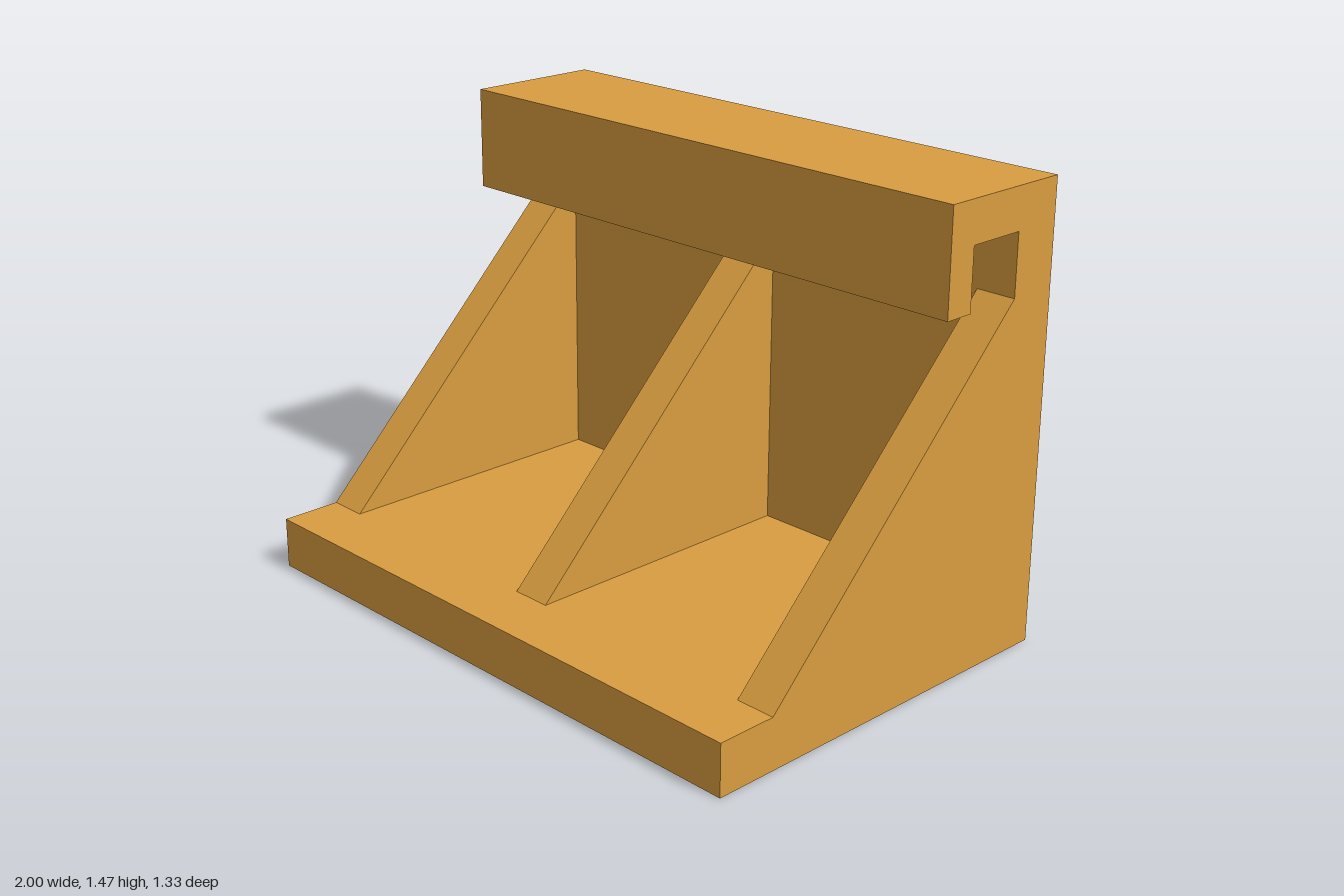
import * as THREE from 'three';

const WIDTH = 2;
const RIB = 0.133;

// Extrudes a side profile of [z, y] points along x, centred on the given x.
function sideExtrude(points, width, x) {
  const shape = new THREE.Shape(points.map(([z, y]) => new THREE.Vector2(z, y)));
  const geometry = new THREE.ExtrudeGeometry(shape, { depth: width, bevelEnabled: false });
  geometry.translate(0, 0, -width / 2);
  geometry.rotateY(-Math.PI / 2);
  geometry.translate(x, 0, 0);
  return geometry;
}

export function createModel() {
  const model = new THREE.Group();
  model.name = 'hookBracket';
  const ochre = new THREE.MeshStandardMaterial({ color: 0xd99d40 });
  ochre.name = 'ochre';

  const add = (name, points, width, x = 0) => {
    const mesh = new THREE.Mesh(sideExtrude(points, width, x), ochre);
    mesh.name = name;
    model.add(mesh);
  };

  // Base plate, back wall and overhanging hook in one continuous profile
  add('hookedFrame', [
    [0.667, 0], [0.667, 0.167], [-0.5, 0.167], [-0.5, 1.333],
    [-0.3, 1.333], [-0.3, 1.135], [-0.2, 1.135], [-0.2, 1.467],
    [-0.667, 1.467], [-0.667, 0],
  ], WIDTH);

  // Triangular gussets between base and wall: two flush at the ends, one central
  const gusset = [[0.467, 0.167], [-0.5, 1.135], [-0.5, 0.167]];
  const end = (WIDTH - RIB) / 2;
  [['leftRib', end], ['middleRib', 0], ['rightRib', -end]]
    .forEach(([name, x]) => add(name, gusset, RIB, x));

  return model;
}
